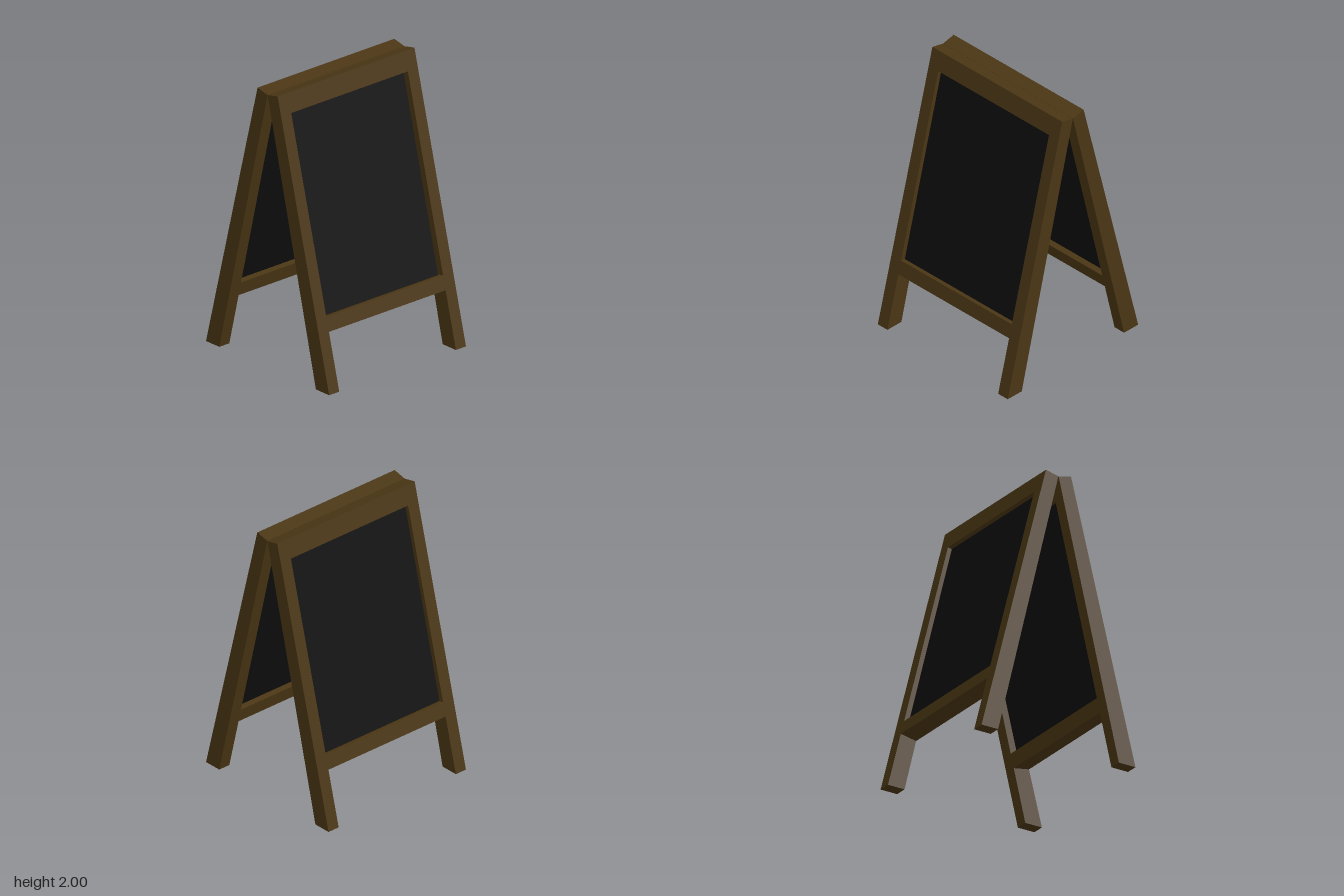
import * as THREE from 'three';

const WOOD = new THREE.MeshStandardMaterial({ color: 0x4a3614 });
const BOARD = new THREE.MeshStandardMaterial({ color: 0x0e0e0e });

// Point in the leaning leaf: t = 0 on the outer face, 1 on the inner face.
// Cuts square to the lean drop a little towards the inner face.
function leafPoint(t, y, drop) {
  const h = y - drop * t;
  const outer = 0.612 - 0.256 * h;
  const inner = 0.48 - 0.2424 * h;
  return new THREE.Vector2(outer + (inner - outer) * t, h);
}

// Bar whose side profile follows the lean, extruded from x0 to x1
function bar(name, material, x0, x1, t0, t1, y0, y1, drop0 = 0.022, drop1 = 0.022) {
  const shape = new THREE.Shape([
    leafPoint(t0, y0, drop0), leafPoint(t0, y1, drop1),
    leafPoint(t1, y1, drop1), leafPoint(t1, y0, drop0),
  ]);
  const geometry = new THREE.ExtrudeGeometry(shape, { depth: x1 - x0, bevelEnabled: false });
  geometry.rotateY(-Math.PI / 2).translate(x1, 0, 0);
  const mesh = new THREE.Mesh(geometry, material);
  mesh.name = name;
  return mesh;
}

// One leaf: two legs, two rails and a recessed writing board
function leaf(name, boardRight) {
  const group = new THREE.Group();
  group.name = name;
  group.add(
    bar('leftLeg', WOOD, 0.522, 0.612, 0, 1, 0, 2, 0),
    bar('rightLeg', WOOD, -0.612, -0.522, 0, 1, 0, 2, 0),
    bar('topRail', WOOD, -0.522, 0.522, 0, 1, 1.865, 2),
    bar('bottomRail', WOOD, -0.522, 0.522, 0, 1, 0.4, 0.5),
    bar('writingBoard', BOARD, -0.522, boardRight, 0.3, 0.65, 0.495, 1.87),
  );
  return group;
}

export function createModel() {
  const model = new THREE.Group();
  model.name = 'sandwichBoard';
  // The front board stops just short of one leg
  const front = leaf('frontLeaf', 0.51);
  const back = leaf('backLeaf', 0.522);
  back.rotation.y = Math.PI;
  model.add(front, back);
  return model;
}
